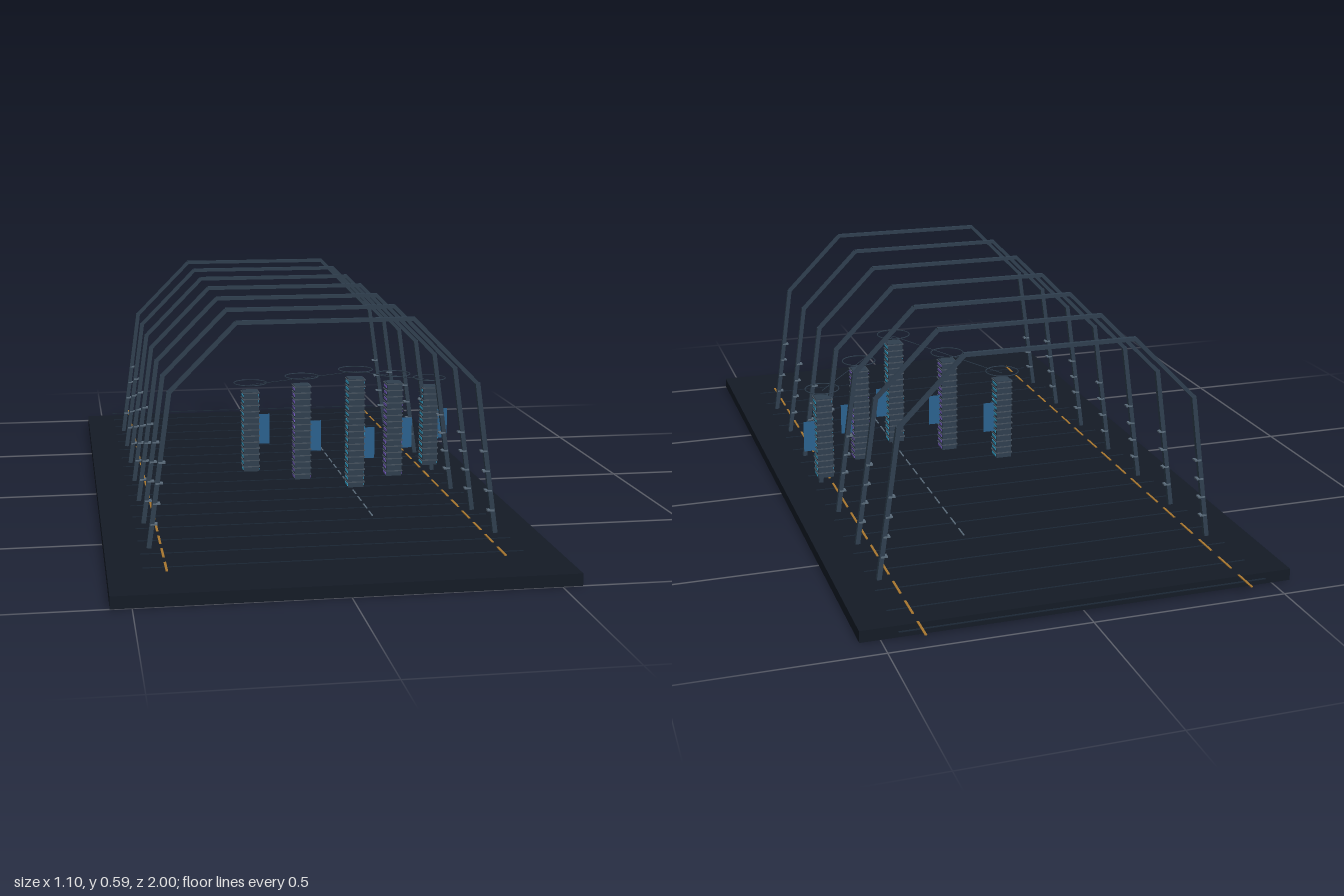
import * as THREE from 'three';

const mat = (color, side = THREE.FrontSide) => new THREE.MeshStandardMaterial({ color, side });
const floorMat = mat(0x141b26), steel = mat(0x2f3f4f), finMat = mat(0x46525e), seamMat = mat(0x1c2836);
const amber = mat(0xa8772f), cyan = mat(0x35a7d0), violet = mat(0x7a62c8), grey = mat(0x5a6b7a);
const blue = mat(0x2b628f, THREE.DoubleSide);

function box(parent, name, material, w, h, d, x, y, z) {
  const mesh = new THREE.Mesh(new THREE.BoxGeometry(w, h, d), material);
  mesh.name = name;
  mesh.position.set(x, y, z);
  parent.add(mesh);
  return mesh;
}

// Square bar between two points of the XY plane
function beam(parent, name, [x1, y1], [x2, y2], t) {
  const length = Math.hypot(x2 - x1, y2 - y1);
  const mesh = box(parent, name, steel, length, t, t, (x1 + x2) / 2, (y1 + y2) / 2, 0);
  mesh.rotation.z = Math.atan2(y2 - y1, x2 - x1);
}

// Five-bar portal frame with small lamps on the legs
function arch() {
  const g = new THREE.Group();
  g.name = 'archFrame';
  for (const s of [-1, 1]) {
    beam(g, 'leg', [s * 0.44, 0.03], [s * 0.385, 0.42], 0.012);
    beam(g, 'shoulder', [s * 0.385, 0.418], [s * 0.22, 0.585], 0.01);
    for (const y of [0.09, 0.142, 0.193, 0.245]) {
      const x = 0.44 - (y - 0.03) * 0.141 - 0.005;
      box(g, 'legLamp', grey, 0.018, 0.004, 0.016, s * x, y, 0);
    }
  }
  beam(g, 'topBar', [-0.222, 0.585], [0.222, 0.585], 0.01);
  return g;
}

// Finned tower with side lights, a halo ring and a side screen
function tower(top, light) {
  const g = new THREE.Group();
  g.name = 'tower';
  const bottom = 0.05, h = top - bottom, n = Math.round(h / 0.018), step = h / n;
  box(g, 'core', steel, 0.044, h, 0.044, 0, bottom + h / 2, 0);
  for (let i = 0; i < n; i++) {
    const y = bottom + step * (i + 0.5);
    box(g, 'fin', finMat, 0.05, 0.003, 0.047, 0, y + step * 0.3, 0);
    for (const s of [-1, 1]) {
      box(g, 'sideLight', light, 0.002, 0.006, 0.034, s * 0.0225, y - step * 0.15, 0);
    }
  }
  const ring = new THREE.Mesh(new THREE.TorusGeometry(0.047, 0.0015, 6, 40), steel);
  ring.name = 'haloRing';
  ring.rotation.x = Math.PI / 2;
  ring.position.y = top + 0.023;
  g.add(ring);
  const screen = new THREE.Mesh(new THREE.PlaneGeometry(0.042, 0.088), blue);
  screen.name = 'sideScreen';
  screen.position.set(0.035, 0.171, 0);
  g.add(screen);
  return g;
}

export function createModel() {
  const model = new THREE.Group();
  model.name = 'towerHall';
  box(model, 'floorSlab', floorMat, 1.1, 0.03, 1.934, 0, 0.015, 0.033);

  // Floor seams and the dashed edge markings
  for (let i = 0; i < 17; i++) {
    const z = -0.965 + i * 0.1107;
    box(model, 'floorSeam', seamMat, 0.93, 0.002, 0.004, 0, 0.03, z);
    for (const x of [-0.41, 0.41]) box(model, 'edgeDash', amber, 0.006, 0.002, 0.07, x, 0.0315, z);
  }

  // Dashed centre line under the towers
  for (let i = 0; i < 13; i++) {
    box(model, 'centreDash', grey, 0.004, 0.002, 0.045, 0.163, 0.031, -0.475 + i * 0.075);
  }

  // Row of arches
  for (let i = 0; i < 7; i++) {
    const a = arch();
    a.position.z = 0.643 - i * 0.2213;
    model.add(a);
  }

  // Towers set in a V, joined by a cable at the ring centres
  const anchors = [];
  for (let i = -2; i <= 2; i++) {
    const k = Math.abs(i), top = 0.357 - 0.036 * k;
    const t = tower(top, k === 1 ? violet : cyan);
    t.position.set(0.163 + i * 0.1325, 0, 0.2 - 0.11 * k);
    model.add(t);
    anchors.push(new THREE.Vector3(t.position.x, top + 0.017, t.position.z));
  }
  for (let i = 0; i < 4; i++) {
    const line = new THREE.LineCurve3(anchors[i], anchors[i + 1]);
    const cable = new THREE.Mesh(new THREE.TubeGeometry(line, 1, 0.001, 6), steel);
    cable.name = 'cable';
    model.add(cable);
  }
  return model;
}
